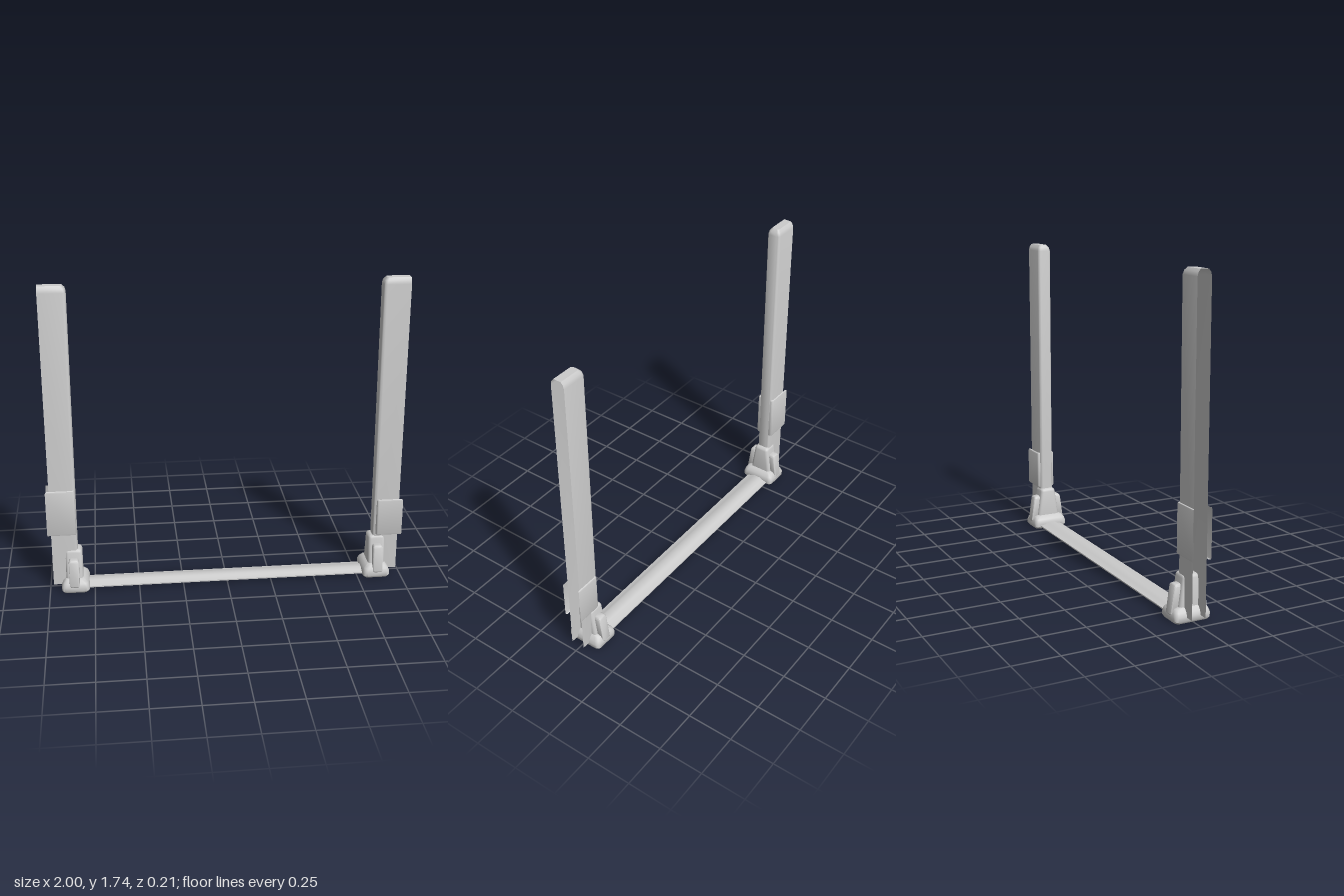
import * as THREE from 'three';
import { toCreasedNormals } from 'three/addons/utils/BufferGeometryUtils.js';

const material = new THREE.MeshStandardMaterial({ color: 0xcccccc, side: THREE.DoubleSide });

// Skin a list of rings of [x, y, z] points; caps are fans on the first or last ring.
function loft(name, rings, { closed = true, capStart = false, capEnd = false } = {}) {
  const n = rings[0].length;
  const index = [];
  for (let i = 0; i < rings.length - 1; i++) {
    for (let j = 0; j < (closed ? n : n - 1); j++) {
      const a = i * n + j, b = i * n + (j + 1) % n;
      index.push(a, a + n, b, b, a + n, b + n);
    }
  }
  const last = (rings.length - 1) * n;
  for (let j = 1; j < n - 1; j++) {
    if (capStart) index.push(0, j, j + 1);
    if (capEnd) index.push(last, last + j + 1, last + j);
  }
  const geometry = new THREE.BufferGeometry();
  geometry.setAttribute('position', new THREE.Float32BufferAttribute(rings.flat(2), 3));
  geometry.setIndex(index);
  const mesh = new THREE.Mesh(toCreasedNormals(geometry, 0.7), material);
  mesh.name = name;
  return mesh;
}

// Horizontal rounded rectangle at height y.
function rectRing(side, x0, x1, z0, z1, y, r) {
  const points = [];
  const corners = [[x1 - r, z1 - r], [x0 + r, z1 - r], [x0 + r, z0 + r], [x1 - r, z0 + r]];
  corners.forEach(([cx, cz], k) => {
    for (let i = 0; i <= 4; i++) {
      const a = (k + i / 4) * Math.PI / 2;
      points.push([side * (cx + r * Math.cos(a)), y, cz + r * Math.sin(a)]);
    }
  });
  return points;
}

// U-shaped channel section at height y, closed on the inner side and open outward.
function channelRing(side, inner, outer, half, y, r) {
  const points = [[side * outer, y, half]];
  for (const [k, cz] of [[1, half - r], [2, r - half]]) {
    for (let i = 0; i <= 4; i++) {
      const a = (k + i / 4) * Math.PI / 2;
      points.push([side * (inner + r + r * Math.cos(a)), y, cz + r * Math.sin(a)]);
    }
  }
  points.push([side * outer, y, -half]);
  return points;
}

function post(side) {
  return loft('post', [
    channelRing(side, 0.838, 0.98, 0.039, 0.03, 0.018),
    channelRing(side, 0.832, 0.98, 0.039, 1.705, 0.018),
    channelRing(side, 0.838, 0.98, 0.034, 1.725, 0.016),
    channelRing(side, 0.852, 0.98, 0.022, 1.74, 0.012),
  ], { closed: false, capEnd: true });
}

// Sleeve clasping the post, with softly drawn-in ends.
function sleeve(side, inner, bottom, top) {
  const ring = (inset, y) => channelRing(side, inner + inset, 1 - inset, 0.053 - inset, y, 0.012);
  return loft('sleeve', [
    ring(0.008, bottom), ring(0.002, bottom + 0.003), ring(0, bottom + 0.01),
    ring(0, top - 0.01), ring(0.002, top - 0.003), ring(0.008, top),
  ], { closed: false });
}

function bracket(side) {
  const group = new THREE.Group();
  group.name = 'bracket';
  const ring = (x0, x1, half, y, r) => rectRing(side, x0, x1, -half, half, y, r);
  // Flared foot and tapered tower, hollow from below
  group.add(loft('bracketBody', [
    ring(0.825, 0.895, 0.036, 0.215, 0.01),
    ring(0.822, 0.9, 0.06, 0.07, 0.012),
    ring(0.81, 0.905, 0.075, 0.003, 0.015),
    ring(0.79, 0.925, 0.094, 0, 0.02),
    ring(0.78, 0.934, 0.103, 0.012, 0.025),
    ring(0.78, 0.934, 0.103, 0.035, 0.025),
    ring(0.787, 0.926, 0.097, 0.055, 0.025),
    ring(0.803, 0.914, 0.086, 0.07, 0.022),
    ring(0.814, 0.908, 0.066, 0.076, 0.018),
    ring(0.814, 0.908, 0.046, 0.222, 0.018),
    ring(0.818, 0.904, 0.043, 0.233, 0.016),
    ring(0.828, 0.894, 0.034, 0.24, 0.012),
  ], { capStart: true, capEnd: true }));
  // Leaning plates on the front and back of the tower
  for (const f of [1, -1]) {
    const plate = (inset, z0, z1, y) => rectRing(
      side, 0.834 + inset, 0.89 - inset, Math.min(f * z0, f * z1), Math.max(f * z0, f * z1), y, 0.008);
    group.add(loft(f > 0 ? 'frontPlate' : 'backPlate', [
      plate(0.006, 0.06, 0.102, 0.034), plate(0, 0.06, 0.106, 0.042),
      plate(0, 0.04, 0.087, 0.18), plate(0.003, 0.04, 0.084, 0.188), plate(0.01, 0.04, 0.076, 0.193),
    ], { capStart: true, capEnd: true }));
  }
  return group;
}

// Shallow ridged threshold strip, open underneath
function floorBar() {
  const profile = [[0.065, 0.013], [0.065, 0.02], [0.04, 0.026], [0.022, 0.036],
    [-0.022, 0.036], [-0.04, 0.026], [-0.07, 0.02], [-0.07, 0.013]];
  return loft('floorBar', [-0.86, 0.86].map(x => profile.map(([z, y]) => [x, y, z])), { closed: false });
}

export function createModel() {
  const model = new THREE.Group();
  model.name = 'gateFrame';
  model.add(floorBar());
  for (const side of [1, -1]) {
    const upright = new THREE.Group();
    upright.name = side > 0 ? 'leftUpright' : 'rightUpright';
    upright.add(post(side), bracket(side));
    upright.add(side > 0 ? sleeve(side, 0.852, 0.245, 0.465) : sleeve(side, 0.84, 0.335, 0.602));
    model.add(upright);
  }
  return model;
}
